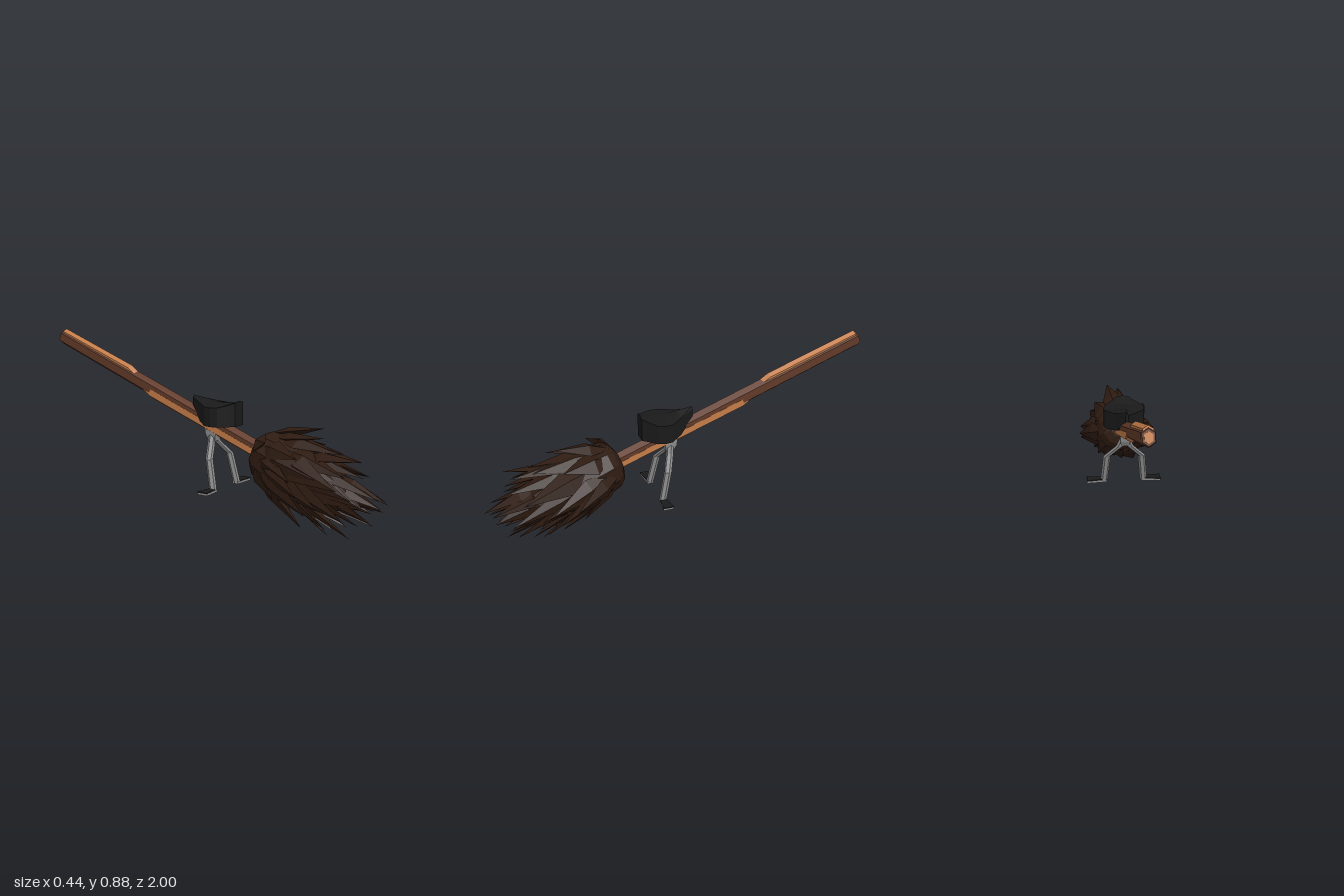
import * as THREE from 'three';
import { mergeGeometries } from 'three/addons/utils/BufferGeometryUtils.js';

const material = (color) => new THREE.MeshStandardMaterial({ color, flatShading: true, roughness: 0.9 });
const bark = material(0x623a29);
const bareWood = material(0xc47c48);
const straw = material(0x2e1b11);
const leather = material(0x1a1a1a);
const metal = material(0x8a8a8a);

// Closed solid through rings of [x, y, z]; rings run counter-clockwise seen from the first end.
function loft(rings) {
  const pos = [];
  const tri = (a, b, c) => pos.push(...a, ...b, ...c);
  const n = rings[0].length;
  for (let k = 0; k < rings.length - 1; k++) {
    for (let i = 0; i < n; i++) {
      const j = (i + 1) % n;
      const a = rings[k], b = rings[k + 1];
      tri(a[i], b[i], b[j]);
      tri(a[i], b[j], a[j]);
    }
  }
  const first = rings[0], last = rings[rings.length - 1];
  for (let i = 1; i < n - 1; i++) {
    tri(first[0], first[i], first[i + 1]);
    tri(last[0], last[i + 1], last[i]);
  }
  const g = new THREE.BufferGeometry();
  g.setAttribute('position', new THREE.Float32BufferAttribute(pos, 3));
  g.computeVertexNormals();
  return g;
}

function add(parent, name, geometry, mat) {
  const mesh = new THREE.Mesh(geometry, mat);
  mesh.name = name;
  parent.add(mesh);
}

function seeded(seed) {
  return () => (seed = (seed * 16807) % 2147483647) / 2147483647;
}

// Six-sided handle section with an edge on top
const hexRing = (s, z) =>
  [[0, 0.041], [-0.03, 0.021], [-0.03, -0.021], [0, -0.041], [0.03, -0.021], [0.03, 0.021]]
    .map(([x, y]) => [x * s, y * s, z]);

// Roof-shaped section of a stripped patch: position, half width, eave height, ridge height
const patchRing = (z, w, eave, ridge) =>
  [[0, ridge, z], [-w, eave, z], [-w, 0, z], [w, 0, z], [w, eave, z]];

function buildHandle(parent) {
  add(parent, 'handle', loft([hexRing(1, 0.1), hexRing(1, -1.37), hexRing(0.85, -1.385)]), bark);
  add(parent, 'handleEnd', loft([hexRing(0.6, -1.35), hexRing(0.6, -1.388)]), bareWood);
  add(parent, 'upperStrippedPatch', loft([
    patchRing(-0.8, 0.02, 0.02, 0.036), patchRing(-0.87, 0.022, 0.038, 0.053),
    patchRing(-1.375, 0.022, 0.034, 0.048)]), bareWood);
  const under = new THREE.Group();
  under.name = 'underside';
  under.rotation.x = Math.PI; // turned under the handle
  add(under, 'lowerStrippedPatch', loft([
    patchRing(0.78, 0.022, 0.015, 0.036), patchRing(0.68, 0.031, 0.035, 0.053),
    patchRing(-0.02, 0.031, 0.03, 0.048)]), bareWood);
  parent.add(under);
}

function buildBristles(parent) {
  // Rounded core, profile of [radius, distance along the axis]
  const profile = [[0, -0.005], [0.05, 0], [0.095, 0.018], [0.122, 0.05], [0.135, 0.12],
    [0.135, 0.28], [0.1, 0.45], [0, 0.6]].map(([r, s]) => new THREE.Vector2(r, s));
  const core = new THREE.LatheGeometry(profile, 10);
  core.rotateX(Math.PI / 2);
  add(parent, 'bristleCore', core, straw);

  // Tuft: flat four-sided spindle, widest near the middle
  const spindle = [[0, 0], [1, 0.42], [0, 1]].map(([r, y]) => new THREE.Vector2(r, y));
  const at = (r, s, a) => new THREE.Vector3(Math.cos(a) * r, Math.sin(a) * r, s);
  const tufts = [];
  function tuft(angle, tipS, tipR, tipTurn, rootS, rootR, width) {
    const root = at(rootR, rootS, angle);
    const dir = at(tipR, tipS, angle + tipTurn).sub(root);
    const length = dir.length();
    dir.normalize();
    const side = new THREE.Vector3(-Math.sin(angle), Math.cos(angle), 0);
    side.addScaledVector(dir, -side.dot(dir)).normalize();
    const out = side.clone().cross(dir);
    const g = new THREE.LatheGeometry(spindle, 4);
    g.scale(width, length, width * 0.45);
    g.applyMatrix4(new THREE.Matrix4().makeBasis(side, dir, out).setPosition(root));
    tufts.push(g);
  }

  // Layers: count, tip distance, tip radius, root distance, root radius, half width
  const layers = [
    [8, 0.27, 0.215, 0.02, 0.08, 0.06],
    [8, 0.4, 0.215, 0.04, 0.1, 0.062],
    [9, 0.5, 0.195, 0.1, 0.1, 0.06],
    [8, 0.59, 0.16, 0.16, 0.09, 0.055],
    [6, 0.64, 0.1, 0.22, 0.07, 0.055],
    [4, 0.69, 0.05, 0.3, 0.04, 0.05],
  ];
  const rnd = seeded(77);
  layers.forEach(([count, tipS, tipR, rootS, rootR, width], layer) => {
    for (let i = 0; i < count; i++) {
      const angle = ((i + layer * 0.45 + (rnd() - 0.5) * 0.5) / count) * Math.PI * 2;
      tuft(angle, tipS + (rnd() - 0.5) * 0.08, tipR * (0.82 + rnd() * 0.2),
        (rnd() - 0.5) * 0.3, rootS, rootR, width * (0.85 + rnd() * 0.3));
    }
  });

  // Longest stray tufts: angle, tip distance, tip radius
  for (const [angle, tipS, tipR] of [[1.37, 0.27, 0.245], [-1.8, 0.51, 0.19], [1.5, 0.705, 0.08],
    [3.21, 0.37, 0.222], [-0.16, 0.3, 0.218], [2.48, 0.1, 0.185], [1.75, 0.535, 0.22]]) {
    tuft(angle, tipS, tipR, 0, Math.max(0.01, tipS - 0.33), 0.085, 0.055);
  }
  add(parent, 'bristleTufts', mergeGeometries(tufts), straw);
}

function buildSaddle(parent) {
  // Sections from front to nose: z, half width, bottom, side top, ridge top
  const rings = [
    [0.2, 0.035, 0.466, 0.583, 0.59],
    [0.18, 0.05, 0.465, 0.575, 0.582],
    [0.135, 0.095, 0.465, 0.562, 0.567],
    [0.1, 0.105, 0.465, 0.56, 0.572],
    [0.06, 0.098, 0.465, 0.56, 0.576],
    [0.0, 0.05, 0.475, 0.567, 0.588],
    [-0.075, 0.008, 0.535, 0.585, 0.597],
  ].map(([z, w, b, e, t]) => [[0, t, z], [-w, e, z], [-w, b, z], [w, b, z], [w, e, z]]);
  add(parent, 'saddle', loft(rings), leather);
}

function buildFootrests(parent) {
  // Clamp under the handle
  const boxRing = (y, w, z0, z1) => [[w, y, z0], [-w, y, z0], [-w, y, z1], [w, y, z1]];
  add(parent, 'legClamp', loft([
    boxRing(0.44, 0.026, 0.01, 0.08), boxRing(0.405, 0.026, 0.015, 0.075),
    boxRing(0.375, 0.02, 0.03, 0.07)]), metal);

  const legRing = ([x, y, z]) => Array.from({ length: 6 }, (_, i) => {
    const a = (i / 6) * Math.PI * 2;
    return [x + Math.cos(a) * 0.019, y, z - Math.sin(a) * 0.019];
  });
  const footRing = (x, y0, y1, z0, z1) => [[x, y0, z0], [x, y0, z1], [x, y1, z1], [x, y1, z0]];

  for (const [label, sign] of [['left', 1], ['right', -1]]) {
    const leg = new THREE.Group();
    leg.name = label + 'Footrest';
    leg.scale.x = sign;
    add(leg, label + 'Leg', loft([[0.008, 0.41, 0.045], [0.025, 0.37, 0.052],
      [0.09, 0.3, 0.085], [0.105, 0.143, 0.12]].map(legRing)), metal);
    add(leg, label + 'Foot', loft([
      footRing(0.09, 0.141, 0.153, 0.104, 0.136),
      footRing(0.195, 0.143, 0.153, 0.09, 0.146)]), metal);
    add(leg, label + 'FootPad', loft([
      footRing(0.115, 0.152, 0.158, 0.102, 0.138),
      footRing(0.195, 0.152, 0.158, 0.09, 0.146)]), leather);
    parent.add(leg);
  }
}

export function createModel() {
  const model = new THREE.Group();
  model.name = 'broom';

  // Handle and bristles share one tilted axis, with its origin where they meet
  const broom = new THREE.Group();
  broom.name = 'tiltedBroom';
  broom.position.set(0, 0.365, 0.31);
  broom.rotation.x = 0.356;
  model.add(broom);
  buildHandle(broom);
  buildBristles(broom);

  buildSaddle(model);
  buildFootrests(model);
  return model;
}
